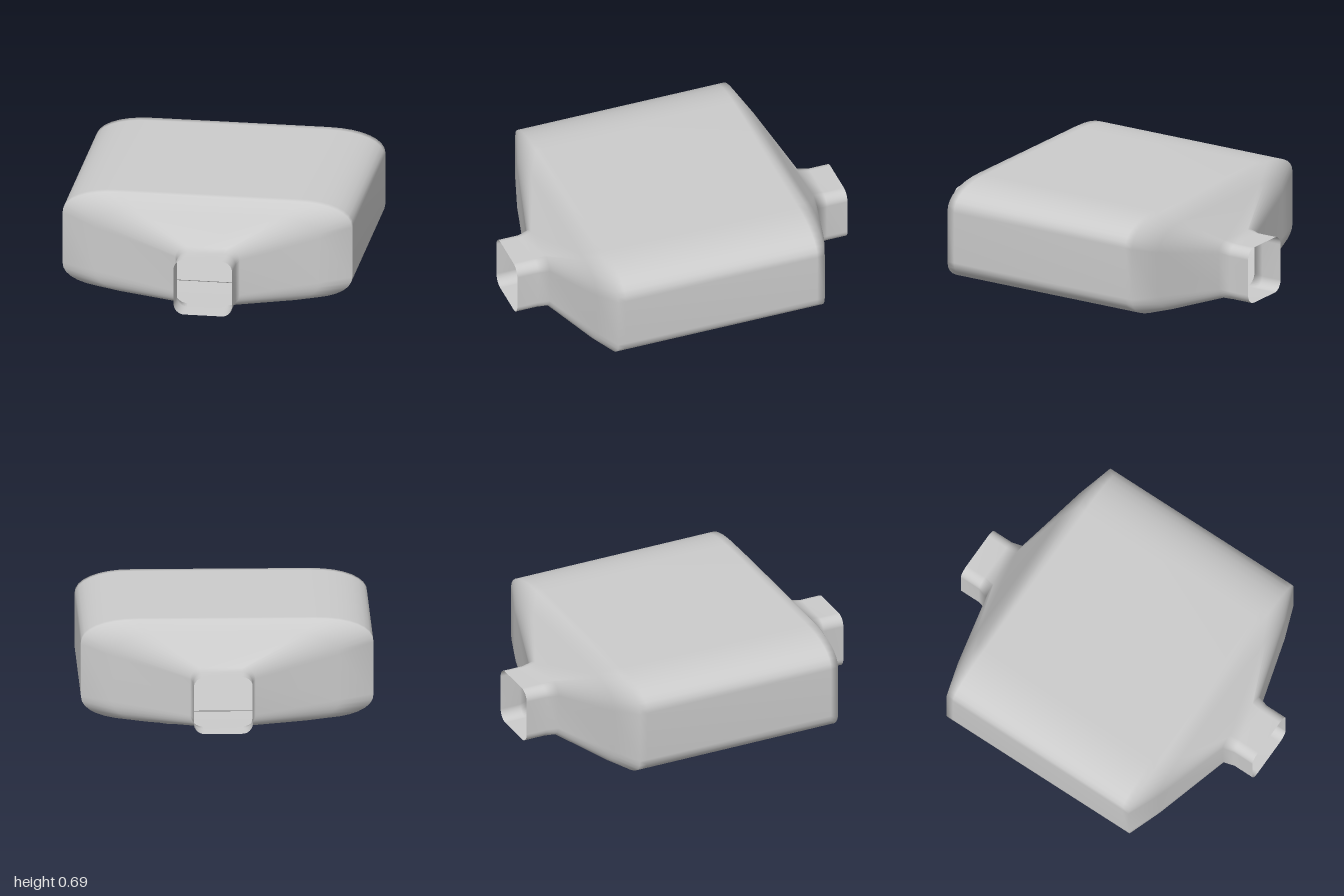
import * as THREE from 'three';

const material = new THREE.MeshStandardMaterial({ color: 0xcccccc, side: THREE.DoubleSide });
const STEPS = 8; // segments per rounded corner

// Counter-clockwise rectangle with squarish elliptical corners
function roundedSection({ x0, x1, y0, y1, rx, ry, power = 1 }) {
  const corners = [[x1 - rx, y0 + ry], [x1 - rx, y1 - ry], [x0 + rx, y1 - ry], [x0 + rx, y0 + ry]];
  const points = [];
  corners.forEach(([cx, cy], q) => {
    for (let k = 0; k <= STEPS; k++) {
      const a = (q - 1 + k / STEPS) * Math.PI / 2;
      const c = Math.cos(a), s = Math.sin(a);
      points.push([
        cx + rx * Math.sign(c) * Math.abs(c) ** power,
        cy + ry * Math.sign(s) * Math.abs(s) ** power,
      ]);
    }
  });
  return points;
}

// Smooth skin through sections ordered by increasing z
function loft(sections) {
  const positions = [], index = [];
  const n = 4 * (STEPS + 1);
  sections.forEach((section, i) => {
    for (const [x, y] of roundedSection(section)) positions.push(x, y, section.z);
    if (i === 0) return;
    for (let j = 0; j < n; j++) {
      const a = (i - 1) * n + j, b = (i - 1) * n + (j + 1) % n;
      index.push(a, b, b + n, a, b + n, a + n);
    }
  });
  const geometry = new THREE.BufferGeometry();
  geometry.setAttribute('position', new THREE.Float32BufferAttribute(positions, 3));
  geometry.setIndex(index);
  geometry.computeVertexNormals();
  return geometry;
}

function addMesh(group, name, geometry) {
  const mesh = new THREE.Mesh(geometry, material);
  mesh.name = name;
  group.add(mesh);
  return mesh;
}

export function createModel() {
  const group = new THREE.Group();
  group.name = 'ductHousing';

  // Hollow housing: wide body tapering to an open, off-centre spout at each end
  const floor = 0.105;
  const half = [
    { z: 0.58, x0: -0.83, x1: 0.83, y1: 0.685, rx: 0.33, ry: 0.14, power: 0.9 },
    { z: 0.625, x0: -0.83, x1: 0.83, y1: 0.685, rx: 0.33, ry: 0.14, power: 0.9 },
    { z: 0.69, x0: -0.63, x1: 0.65, y1: 0.608, rx: 0.24, ry: 0.12, power: 0.9 },
    { z: 0.81, x0: -0.155, x1: 0.215, y1: 0.445, rx: 0.07, ry: 0.065 },
    { z: 0.875, x0: -0.135, x1: 0.2, y1: 0.435, rx: 0.06, ry: 0.06 },
    { z: 1, x0: -0.135, x1: 0.2, y1: 0.435, rx: 0.06, ry: 0.06 },
  ].map((s) => ({ ...s, y0: floor }));
  const mirrored = half.map((s) => ({ ...s, z: -s.z })).reverse();
  addMesh(group, 'housing', loft([...mirrored, ...half]));

  // Shallow pan under the housing, lofted downwards and closed at the bottom
  const pan = [
    [0.11, 0.42, 0.445, 0.015],
    [0.02, 0.31, 0.38, 0.03],
    [0, 0.215, 0.31, 0.03],
    [0, 0, 0, 0],
  ].map(([y, w, d, r]) => ({ z: -y, x0: 0.05 - w, x1: 0.05 + w, y0: -d, y1: d, rx: r, ry: r }));
  addMesh(group, 'bottomPan', loft(pan).rotateX(Math.PI / 2));

  return group;
}
